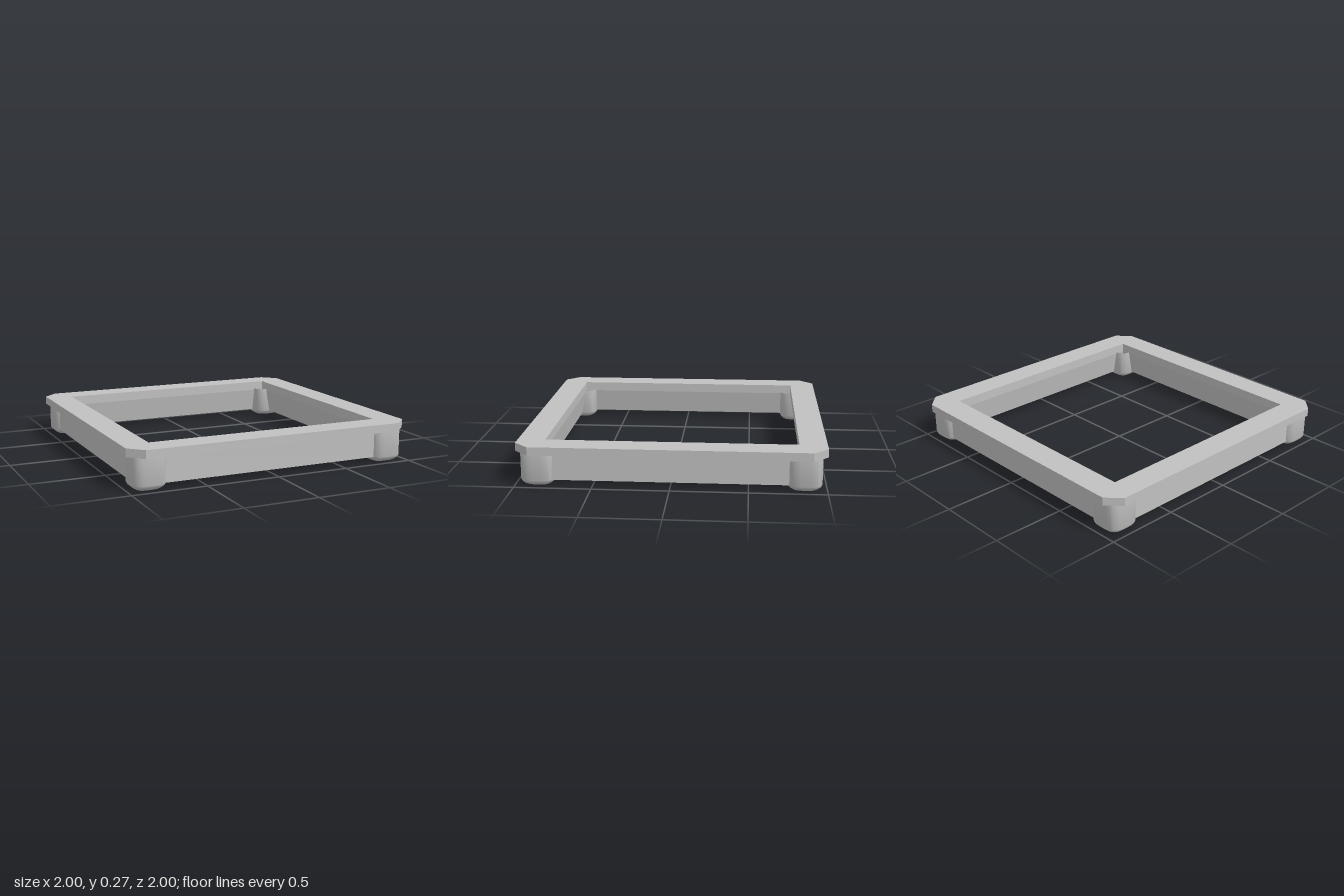
import * as THREE from 'three';
import { toCreasedNormals } from 'three/addons/utils/BufferGeometryUtils.js';

const V = (x, y) => new THREE.Vector2(x, y);

// Square ring swept from a closed (half-width, height) section
function squareRing(section) {
  const pts = section.map(([w, y]) => V(w * Math.SQRT2, y));
  const geo = new THREE.LatheGeometry(pts, 4, Math.PI / 4).toNonIndexed();
  geo.computeVertexNormals();
  return geo;
}

// Chamfered square plate with a square opening
function plateGeometry() {
  const c = 0.905, h = 0.82;
  const shape = new THREE.Shape([
    V(-c, -1), V(c, -1), V(1, -c), V(1, c), V(c, 1), V(-c, 1), V(-1, c), V(-1, -c),
  ]);
  shape.holes.push(new THREE.Path([V(-h, -h), V(-h, h), V(h, h), V(h, -h)]));
  const geo = new THREE.ExtrudeGeometry(shape, { depth: 0.055, bevelEnabled: false });
  return geo.rotateX(-Math.PI / 2).translate(0, 0.215, 0);
}

// Softly squared post with a rounded-off lower edge
function footGeometry() {
  const profile = [
    V(0, 0), V(0.076, 0), V(0.092, 0.01), V(0.106, 0.022), V(0.1125, 0.036), V(0.1125, 0.216),
  ];
  const geo = new THREE.LatheGeometry(profile, 40);
  const pos = geo.attributes.position;
  const n = 3.5;
  for (let i = 0; i < pos.count; i++) {
    const x = pos.getX(i), z = pos.getZ(i), r = Math.hypot(x, z);
    if (r < 1e-6) continue;
    const k = Math.pow(Math.abs(x / r) ** n + Math.abs(z / r) ** n, -1 / n);
    pos.setX(i, x * k);
    pos.setZ(i, z * k);
  }
  return toCreasedNormals(geo, 0.6);
}

export function createModel() {
  const group = new THREE.Group();
  group.name = 'squareBaseFrame';
  const grey = new THREE.MeshStandardMaterial({ color: 0xc0c0c0 });
  grey.name = 'light grey';

  const add = (name, geo, x = 0, z = 0) => {
    const mesh = new THREE.Mesh(geo, grey);
    mesh.name = name;
    mesh.position.set(x, 0, z);
    group.add(mesh);
  };

  add('topPlate', plateGeometry());

  // Rails below the plate: inner wall leans outward, small step at the top
  add('railFrame', squareRing([
    [0.937, 0.035], [0.937, 0.205], [0.945, 0.205], [0.945, 0.215],
    [0.82, 0.215], [0.82, 0.205], [0.85, 0.035], [0.937, 0.035],
  ]));

  // Corner feet
  const foot = footGeometry();
  const p = 0.8575;
  for (const [side, sx] of [['Left', 1], ['Right', -1]])
    for (const [end, sz] of [['front', 1], ['back', -1]])
      add(`${end}${side}Foot`, foot, sx * p, sz * p);

  return group;
}
